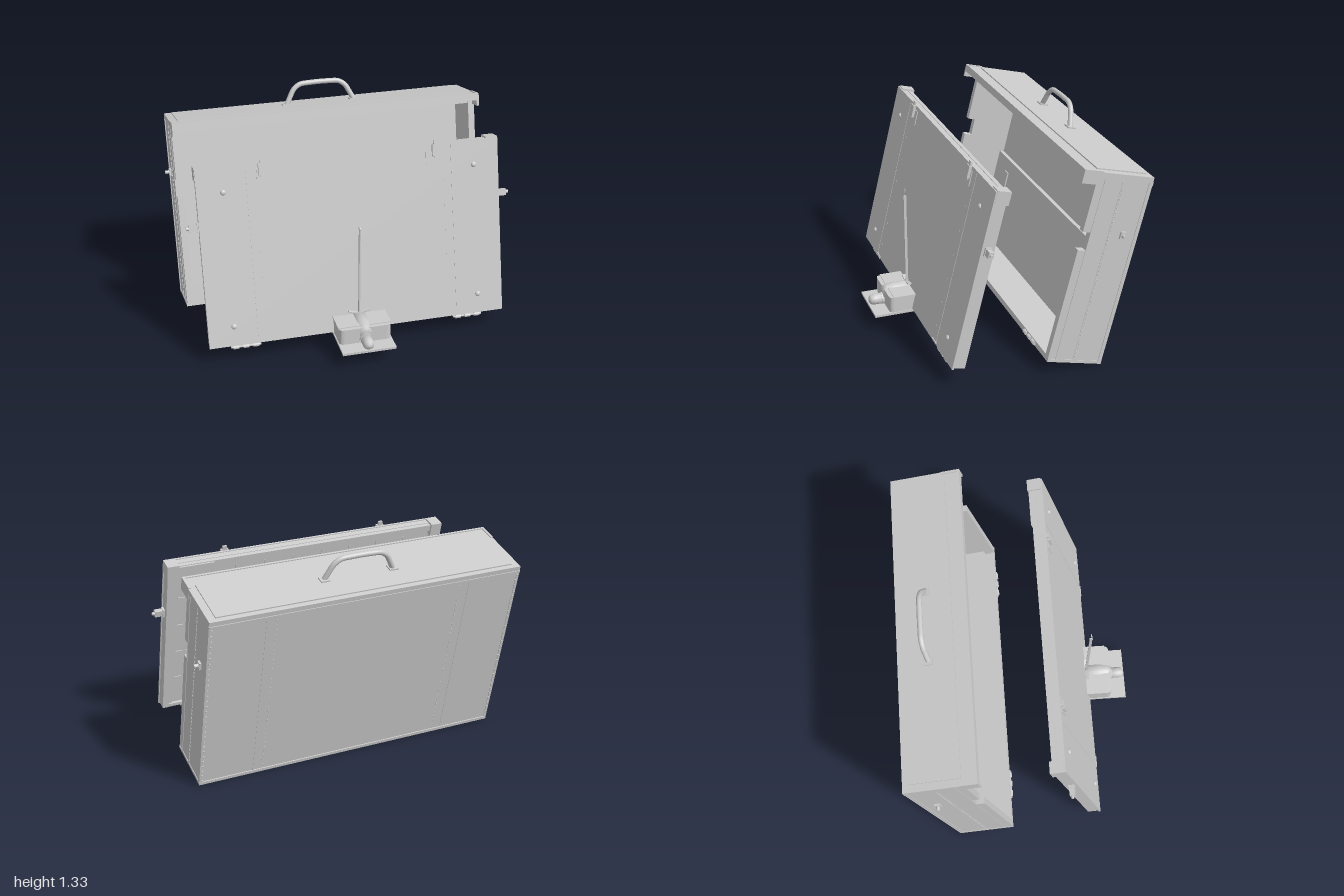
import * as THREE from 'three';
import { mergeGeometries } from 'three/addons/utils/BufferGeometryUtils.js';

const mat = new THREE.MeshStandardMaterial({ color: 0xcccccc, side: THREE.DoubleSide });
const TILT = -0.24;

function add(parent, name, geo) {
  const m = new THREE.Mesh(geo, mat);
  m.name = name;
  parent.add(m);
  return m;
}
// box geometry from its limits on each axis
function boxGeo(x0, x1, y0, y1, z0, z1) {
  return new THREE.BoxGeometry(x1 - x0, y1 - y0, z1 - z0)
    .translate((x0 + x1) / 2, (y0 + y1) / 2, (z0 + z1) / 2);
}
const block = (p, name, ...b) => add(p, name, boxGeo(...b));
// the same block on both sides of x = 0
function pair(p, name, x0, x1, ...yz) {
  block(p, name + 'Left', x0, x1, ...yz);
  block(p, name + 'Right', -x1, -x0, ...yz);
}
// cylinder along a given axis
function rod(p, name, r, len, axis, x, y, z, seg = 16) {
  const g = new THREE.CylinderGeometry(r, r, len, seg);
  if (axis === 'x') g.rotateZ(Math.PI / 2);
  if (axis === 'z') g.rotateX(Math.PI / 2);
  return add(p, name, g.translate(x, y, z));
}
// row of small square studs going up, mirrored on x
function studRow(p, name, x, y0, y1, z, n, sx, sz) {
  const list = [];
  for (let i = 0; i < n; i++) {
    const y = y0 + (y1 - y0) * i / (n - 1);
    for (const s of [-1, 1]) list.push(new THREE.BoxGeometry(sx, 0.008, sz).translate(s * x, y, z));
  }
  add(p, name, mergeGeometries(list));
}
// interleaved barrel hinge, mirrored on x
function hinges(p, y, z) {
  for (const s of [-1, 1]) {
    rod(p, 'hingePin', 0.006, 0.18, 'x', s * 0.69, y, z, 8);
    for (let i = 0; i < 3; i++) rod(p, 'hingeKnuckle', 0.012, 0.035, 'x', s * (0.63 + i * 0.06), y, z, 12);
    block(p, 'hingeLeaf', s * 0.69 - 0.09, s * 0.69 + 0.09, y, y + 0.012, z - 0.03, z);
  }
}

function buildCase() {
  const g = new THREE.Group();
  g.name = 'case';
  g.position.set(0, 0.002, -0.422);
  g.rotation.x = TILT;

  // shell, open at the front
  block(g, 'backWall', -0.955, 0.955, 0.01, 1.138, 0.004, 0.02);
  block(g, 'floor', -0.965, 0.965, 0, 0.018, 0, 0.345);
  pair(g, 'sideWall', 0.945, 0.962, 0, 1.138, 0.004, 0.298);
  pair(g, 'lowerRim', 0.922, 0.962, 0.01, 0.70, 0.285, 0.345);
  pair(g, 'upperRim', 0.922, 0.962, 0.81, 1.138, 0.285, 0.345);
  pair(g, 'rimBack', 0.922, 0.962, 0.70, 0.81, 0.285, 0.298);
  block(g, 'frontSill', -0.922, 0.922, 0.018, 0.03, 0.325, 0.345);

  // corner strips and seams on the outside
  pair(g, 'sideBackStrip', 0.95, 0.966, 0, 1.138, 0, 0.022);
  pair(g, 'sideFrontStrip', 0.95, 0.965, 0.01, 1.13, 0.292, 0.298);
  pair(g, 'sideSeam', 0.955, 0.964, 0.015, 1.13, 0.182, 0.187);
  studRow(g, 'sideStuds', 0.964, 0.04, 1.1, 0.176, 40, 0.004, 0.006);
  studRow(g, 'cornerStuds', 0.95, 0.03, 1.11, -0.001, 30, 0.008, 0.008);
  block(g, 'backTopStrip', -0.965, 0.965, 1.118, 1.138, -0.004, 0.02);
  block(g, 'backBottomStrip', -0.965, 0.965, 0, 0.02, -0.002, 0.02);
  pair(g, 'backSeam', 0.628, 0.632, 0.02, 1.118, 0.002, 0.01);
  studRow(g, 'backStuds', 0.57, 0.05, 1.1, 0.003, 32, 0.006, 0.004);

  // lid plate with an overhanging front lip
  block(g, 'lidPlate', -0.965, 0.965, 1.136, 1.166, 0, 0.433);
  block(g, 'lidFrontEdge', -0.965, 0.965, 1.128, 1.172, 0.42, 0.433);
  block(g, 'lidPanel', -0.92, 0.92, 1.16, 1.173, 0.03, 0.34);
  block(g, 'lidInnerBar', -0.922, 0.922, 1.10, 1.138, 0.325, 0.34);
  pair(g, 'lipCheek', 0.95, 0.965, 1.092, 1.172, 0.32, 0.433);

  // carrying handle
  const pts = [[-0.215, 1.175], [-0.19, 1.225], [-0.165, 1.268], [-0.125, 1.296], [-0.06, 1.302],
    [0.06, 1.302], [0.125, 1.296], [0.165, 1.268], [0.19, 1.225], [0.215, 1.175]]
    .map(([x, y]) => new THREE.Vector3(x, y, 0.187));
  add(g, 'handle', new THREE.TubeGeometry(new THREE.CatmullRomCurve3(pts), 48, 0.016, 14));
  for (const s of [-1, 1]) block(g, 'handleFoot', s * 0.215 - 0.028, s * 0.215 + 0.028, 1.17, 1.181, 0.162, 0.212);

  // side catches
  pair(g, 'catchPlate', 0.96, 0.975, 0.79, 0.833, 0.08, 0.113);
  for (const s of [-1, 1]) rod(g, 'catchPin', 0.011, 0.035, 'x', s * 0.9825, 0.811, 0.097);

  // fittings on the inside of the back
  block(g, 'innerPanel', -0.94, 0.94, 0.018, 0.6, 0.02, 0.05);
  pair(g, 'innerStrap', 0.72, 0.78, 0.1, 0.52, 0.05, 0.058);
  pair(g, 'innerClamp', 0.715, 0.785, 0.32, 0.4, 0.058, 0.1);
  for (const s of [-1, 1]) rod(g, 'clampKnob', 0.022, 0.03, 'z', s * 0.75, 0.36, 0.11);

  hinges(g, 0.012, 0.348);
  return g;
}

function buildPanel() {
  const g = new THREE.Group();
  g.name = 'frontPanel';
  g.position.set(0, 0.114, 0.467);
  g.rotation.x = TILT;

  // face, core and rear frame
  block(g, 'panelFace', -0.91, 0.91, 0, 1.08, -0.012, 0);
  block(g, 'panelCore', -0.9, 0.9, 0.005, 1.07, -0.058, -0.01);
  pair(g, 'sideRail', 0.865, 0.905, 0.01, 1.03, -0.078, -0.012);
  pair(g, 'railLip', 0.845, 0.865, 0.02, 1.02, -0.066, -0.012);
  block(g, 'topRail', -0.9, 0.9, 1.035, 1.075, -0.078, -0.012);
  block(g, 'topRailSeam', -0.85, 0.85, 1.07, 1.078, -0.052, -0.047);
  block(g, 'bottomRail', -0.9, 0.9, 0.008, 0.03, -0.074, -0.012);
  pair(g, 'cornerBracket', 0.84, 0.912, 1.006, 1.086, -0.091, -0.008);
  block(g, 'topStiffener', 0.62, 0.9, 1.0, 1.07, -0.088, -0.07);

  // quilted grid on the rear
  const ribs = [];
  for (let i = 1; i < 9; i++) {
    const x = -0.85 + i * 1.7 / 9;
    for (let j = 0; j < 16; j++) ribs.push(boxGeo(x - 0.003, x + 0.003, 0.04 + j * 0.062, 0.08 + j * 0.062, -0.063, -0.056));
  }
  for (let i = 1; i < 5; i++) {
    const y = 0.03 + i * 0.2;
    for (let j = 0; j < 26; j++) ribs.push(boxGeo(-0.84 + j * 0.065, -0.795 + j * 0.065, y - 0.003, y + 0.003, -0.063, -0.056));
  }
  add(g, 'rearGrid', mergeGeometries(ribs));

  // face seams, screws and clips
  pair(g, 'faceSeam', 0.614, 0.618, 0.01, 1.07, -0.002, 0.002);
  studRow(g, 'faceStuds', 0.565, 0.1, 1.0, 0.001, 7, 0.005, 0.003);
  for (const s of [-1, 1]) {
    for (const y of [0.12, 0.93]) {
      add(g, 'screwHead', new THREE.SphereGeometry(0.017, 16, 8, 0, Math.PI * 2, 0, Math.PI / 2)
        .rotateX(Math.PI / 2).scale(1, 1, 0.7)).position.set(s * 0.755, y, 0);
    }
  }
  pair(g, 'bottomClip', 0.555, 0.625, 0.008, 0.016, 0, 0.006);

  // top latches
  pair(g, 'latchPlate', 0.46, 0.555, 0.965, 1.055, 0, 0.005);
  pair(g, 'latchArm', 0.508, 0.535, 1.0, 1.105, 0.005, 0.016);
  pair(g, 'latchHead', 0.497, 0.545, 1.01, 1.08, 0.005, 0.022);

  // side catches
  pair(g, 'catchPlate', 0.9, 0.918, 0.705, 0.755, -0.055, -0.018);
  pair(g, 'catchBlock', 0.9, 0.965, 0.712, 0.75, -0.052, -0.022);
  for (const s of [-1, 1]) rod(g, 'catchPin', 0.01, 0.025, 'x', s * 0.968, 0.731, -0.037);

  hinges(g, -0.018, -0.025);
  return g;
}

function buildDevice() {
  const g = new THREE.Group();
  g.name = 'pointerUnit';

  // base plate and its rear layer
  block(g, 'basePlate', -0.163, 0.163, 0.094, 0.108, 0.2, 0.7);
  block(g, 'baseLayer', -0.15, 0.15, 0.108, 0.125, 0.205, 0.3);

  // housing with rounded front corners
  const s = new THREE.Shape();
  const w = 0.158, r = 0.03;
  s.moveTo(-w, -0.29);
  s.lineTo(-w, -0.605 + r);
  s.quadraticCurveTo(-w, -0.605, -w + r, -0.605);
  s.lineTo(w - r, -0.605);
  s.quadraticCurveTo(w, -0.605, w, -0.605 + r);
  s.lineTo(w, -0.29);
  s.closePath();
  add(g, 'housing', new THREE.ExtrudeGeometry(s, { depth: 0.1, bevelEnabled: false, curveSegments: 6 })
    .rotateX(-Math.PI / 2).translate(0, 0.106, 0));
  block(g, 'housingRim', -0.162, 0.162, 0.198, 0.21, 0.285, 0.58);

  // rounded ridge tapering to the front knob
  const ridge = [[0, 0], [0.052, 0], [0.052, 0.1], [0.045, 0.145], [0.036, 0.17], [0, 0.17]]
    .map(p => new THREE.Vector2(...p));
  add(g, 'ridge', new THREE.LatheGeometry(ridge, 24).rotateX(Math.PI / 2).translate(0, 0.172, 0.44));
  const knob = [[0, 0], [0.034, 0], [0.034, 0.06], [0.03, 0.082], [0.018, 0.094], [0, 0.098]]
    .map(p => new THREE.Vector2(...p));
  add(g, 'frontKnob', new THREE.LatheGeometry(knob, 20).rotateX(Math.PI / 2).translate(0, 0.132, 0.6));
  rod(g, 'knobCollar', 0.04, 0.02, 'z', 0, 0.132, 0.61, 8);

  // splayed wings at the foot of the needle
  for (const k of [-1, 1]) {
    const m = add(g, 'needleWing', new THREE.BoxGeometry(0.06, 0.008, 0.022));
    m.position.set(k * 0.036, 0.226, 0.45);
    m.rotation.z = k * 0.25;
  }

  // needle and its loose tip
  block(g, 'needle', -0.004, 0.004, 0.2, 0.785, 0.442, 0.458);
  rod(g, 'needleEye', 0.011, 0.008, 'x', 0, 0.787, 0.45);
  const tip = add(g, 'needleTip', new THREE.BoxGeometry(0.024, 0.018, 0.004));
  tip.position.set(0, 0.83, 0.452);
  tip.rotation.x = TILT;
  return g;
}

export function createModel() {
  const model = new THREE.Group();
  model.name = 'displayCase';
  model.add(buildCase(), buildPanel(), buildDevice());
  return model;
}
